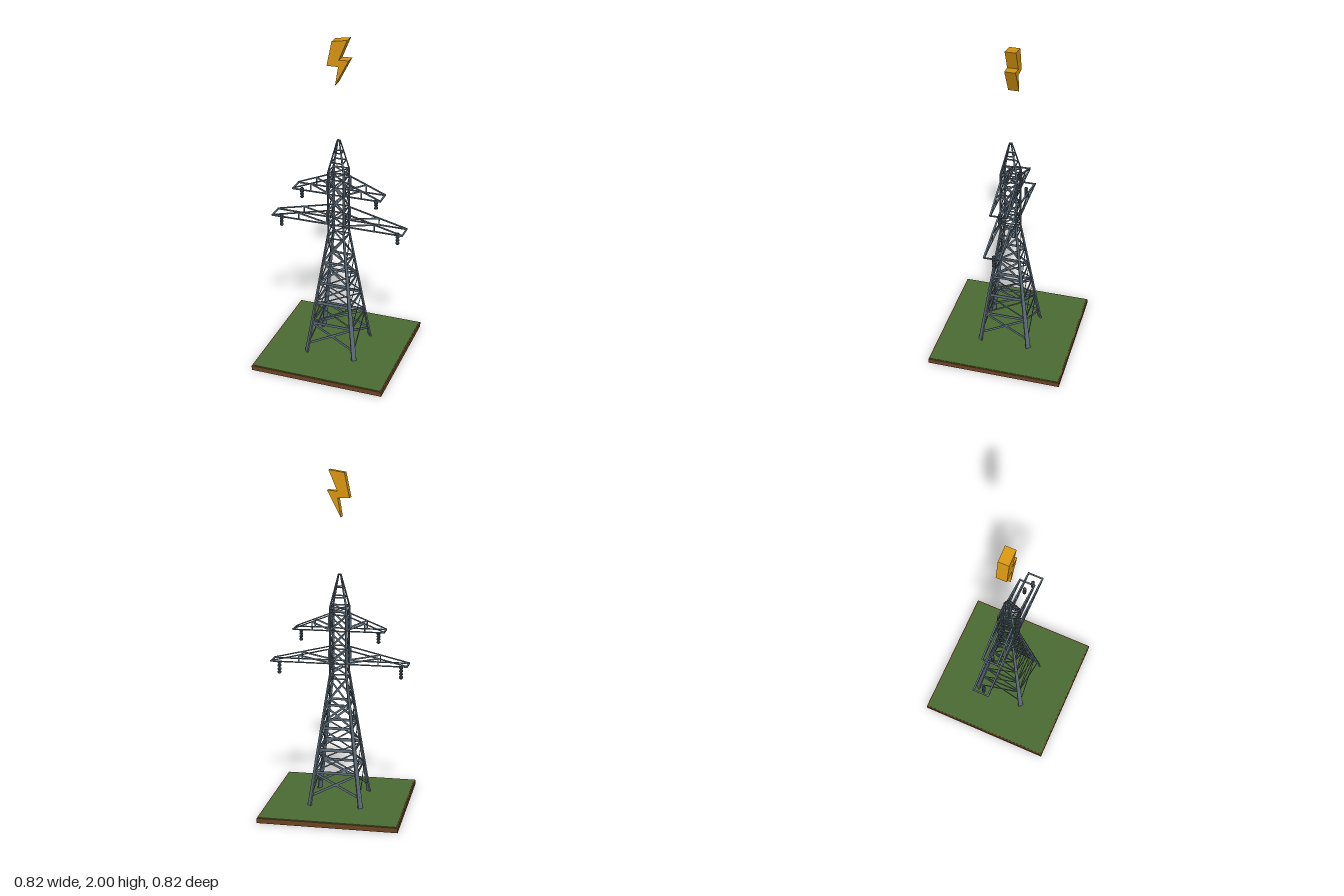
import * as THREE from 'three';

const mat = (color) => new THREE.MeshStandardMaterial({ color, flatShading: true });
const steel = mat(0x5c6c79), dark = mat(0x46525d), grass = mat(0x4a6b32), soil = mat(0x6b4423), gold = mat(0xd9960f);
const V = (x, y, z) => new THREE.Vector3(x, y, z);

function add(parent, name, geometry, material) {
  const mesh = new THREE.Mesh(geometry, material);
  mesh.name = name;
  parent.add(mesh);
  return mesh;
}

// Flat bar from a to b; "out" is the direction its thin side faces, taper scales the width at b
function bar(parent, name, a, b, width, thick, out, taper = 1) {
  const dir = b.clone().sub(a), length = dir.length();
  dir.normalize();
  const side = dir.clone().cross(out).normalize();
  const face = side.clone().cross(dir);
  const geo = new THREE.BoxGeometry(width, length, thick);
  const p = geo.attributes.position;
  for (let i = 0; i < p.count; i++) if (p.getY(i) > 0) p.setX(i, p.getX(i) * taper);
  geo.applyMatrix4(new THREE.Matrix4().makeBasis(side, dir, face));
  const mid = a.clone().add(b).multiplyScalar(0.5);
  return add(parent, name, geo.translate(mid.x, mid.y, mid.z), steel);
}

// Half width of the tower at height y
const WAIST = 0.81, SHOULDER = 1.21, PEAK = 1.4;
function half(y) {
  if (y < WAIST) return THREE.MathUtils.mapLinear(y, 0.03, WAIST, 0.153, 0.048);
  if (y < SHOULDER) return 0.048;
  return THREE.MathUtils.mapLinear(y, SHOULDER, PEAK, 0.048, 0.006);
}

function makeTower() {
  const tower = new THREE.Group();
  tower.name = 'latticeTower';
  // Corner legs: plates facing diagonally outward
  const legs = [[0.03, WAIST, 0.03, 0.009, 0.4], [WAIST, SHOULDER, 0.012, 0.006, 1], [SHOULDER, PEAK, 0.012, 0.005, 0.5]];
  for (const sx of [-1, 1]) for (const sz of [-1, 1]) for (const [y0, y1, w, t, taper] of legs) {
    const h0 = half(y0), h1 = half(y1 - 1e-6);
    bar(tower, 'leg', V(sx * h0, y0, sz * h0), V(sx * h1, y1, sz * h1), w, t, V(sx, 0, sz), taper);
  }
  // Horizontal girts [y, height] and cross braces [y0, y1, width], repeated on four faces
  const girts = [[0.23, 0.016], [0.365, 0.02], [0.495, 0.016], [0.63, 0.014], [0.785, 0.008], [0.875, 0.008],
    [0.965, 0.008], [1.07, 0.008], [1.165, 0.008], [1.21, 0.008], [1.267, 0.008], [1.325, 0.007], [1.397, 0.006]];
  const crosses = [[0.09, 0.225, 0.014], [0.235, 0.355, 0.008], [0.375, 0.49, 0.008], [0.5, 0.625, 0.012], [0.635, 0.785, 0.01],
    [0.815, 0.87, 0.008], [0.88, 0.96, 0.009], [0.97, 1.065, 0.009], [1.075, 1.16, 0.009], [1.17, 1.208, 0.007]];
  for (let i = 0; i < 4; i++) {
    const face = new THREE.Group();
    face.name = 'towerFace';
    face.rotation.y = i * Math.PI / 2;
    for (const [y, w] of girts) {
      const h = half(y);
      bar(face, 'girt', V(-h, y, h), V(h, y, h), w, 0.004, V(0, 0, 1));
    }
    for (const [y0, y1, w] of crosses) for (const s of [-1, 1]) {
      const a = half(y0), b = half(y1), dz = s * 0.002;
      bar(face, 'crossBrace', V(-s * a, y0, a + dz), V(s * b, y1, b + dz), w, 0.003, V(0, 0, 1));
    }
    tower.add(face);
  }
  return tower;
}

// Hanging insulator: a stack of rounded sheds
function makeInsulator(x, top, height) {
  const n = 4, step = height / n, pts = [new THREE.Vector2(0, 0)];
  for (let i = 0; i < n; i++) {
    const y = i * step;
    pts.push(new THREE.Vector2(0.006, y), new THREE.Vector2(0.011, y + step * 0.25),
      new THREE.Vector2(0.011, y + step * 0.7), new THREE.Vector2(0.006, y + step * 0.95));
  }
  pts.push(new THREE.Vector2(0, height));
  const mesh = new THREE.Mesh(new THREE.LatheGeometry(pts, 10), dark);
  mesh.name = 'insulator';
  mesh.position.set(x, top - height, 0);
  return mesh;
}

// Pair of crossarms at height y
function makeCrossarm(y, reach, rise, postX, hangX, hangH) {
  const arm = new THREE.Group();
  arm.name = 'crossarm';
  const root = 0.048, up = V(0, 1, 0), out = V(0, 0, 1);
  for (const s of [-1, 1]) {
    const topAt = (x) => y + rise * (reach - x) / (reach - root);
    for (const z of [-0.046, 0.046]) {
      bar(arm, 'lowerChord', V(s * root, y, z), V(s * reach, y, z), 0.01, 0.006, up);
      bar(arm, 'upperChord', V(s * root, y + rise, z), V(s * reach, y + 0.002, z), 0.01, 0.006, up);
      bar(arm, 'rootPost', V(s * 0.055, y, z), V(s * 0.055, y + rise, z), 0.012, 0.006, out);
      bar(arm, 'post', V(s * postX, y, z), V(s * postX, topAt(postX), z), 0.007, 0.006, out);
      bar(arm, 'diagonal', V(s * root, y + 0.004, z), V(s * postX, topAt(postX), z), 0.009, 0.005, out);
    }
    bar(arm, 'tipBar', V(s * (reach - 0.004), y, -0.05), V(s * (reach - 0.004), y, 0.05), 0.009, 0.006, up);
    arm.add(makeInsulator(s * hangX, y - 0.007, hangH));
  }
  return arm;
}

export function createModel() {
  const model = new THREE.Group();
  model.name = 'powerPylon';

  // Ground tile
  add(model, 'soilSlab', new THREE.BoxGeometry(0.82, 0.029, 0.82).translate(0, 0.0145, 0), soil);
  add(model, 'grass', new THREE.BoxGeometry(0.805, 0.02, 0.805).translate(0, 0.022, 0), grass);

  model.add(makeTower());
  model.add(makeCrossarm(0.875, 0.408, 0.088, 0.235, 0.364, 0.078));
  model.add(makeCrossarm(1.072, 0.272, 0.092, 0.155, 0.23, 0.068));

  // Floating lightning bolt
  const outline = [[-0.035, 1.985], [-0.065, 1.842], [0.003, 1.842], [-0.015, 1.732], [0.065, 1.885], [0.006, 1.88], [0.056, 2]];
  const shape = new THREE.Shape(outline.map(([x, y]) => new THREE.Vector2(x, y)));
  const bolt = new THREE.ExtrudeGeometry(shape, { depth: 0.063, bevelEnabled: false });
  add(model, 'lightningBolt', bolt.translate(0, 0, -0.045), gold);
  return model;
}
